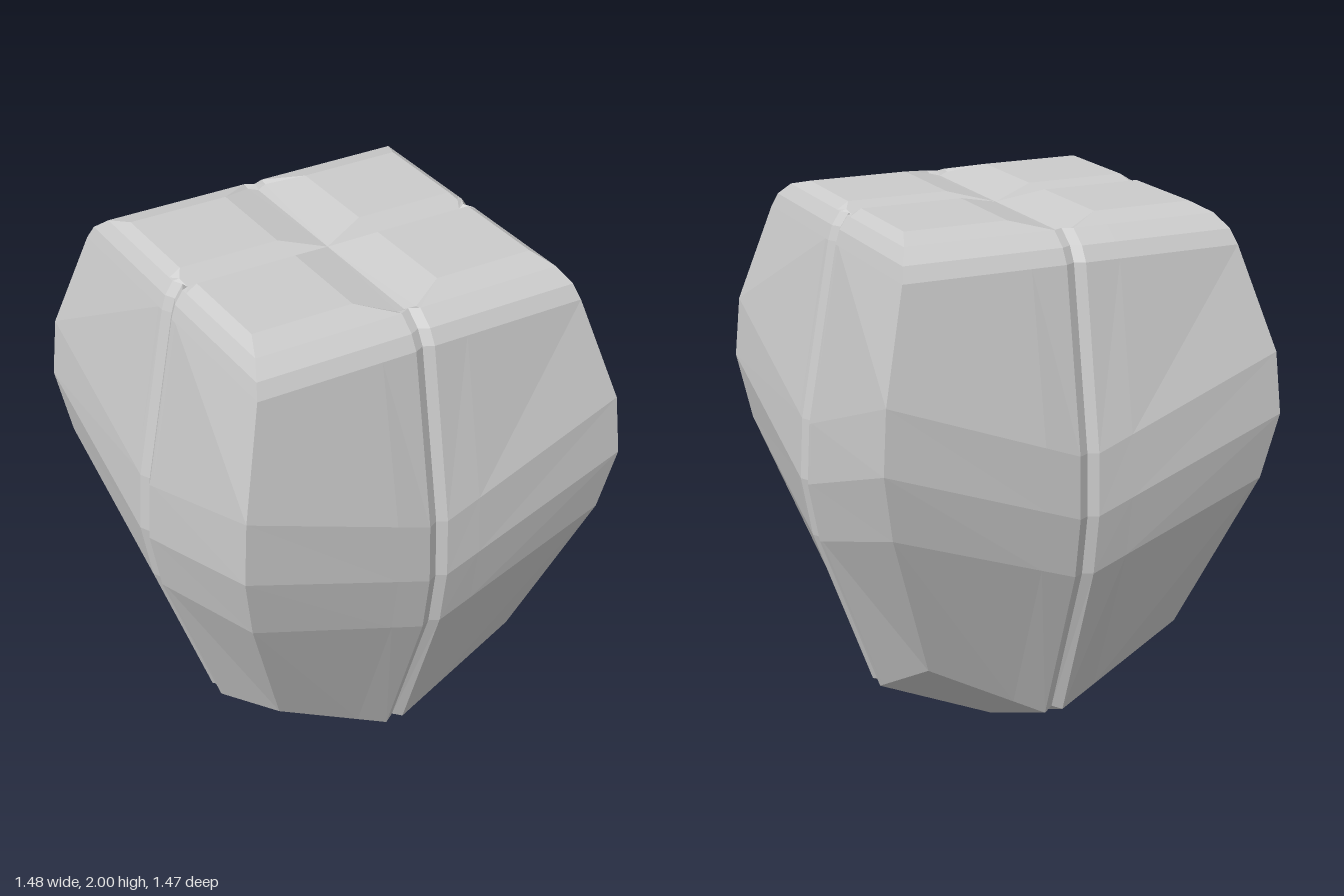
import * as THREE from 'three';

const v = (x, y, z) => new THREE.Vector3(x, y, z);

// Cross-sections from the base up: [corner x, corner z, corner y, mid x, mid z, mid y]
const SECTIONS = [
  [0.485, 0.485, 0.47, 0.485, 0.485, 0.21],
  [0.69, 0.69, 1.06, 0.70, 0.70, 0.82],
  [0.733, 0.73, 1.30, 0.738, 0.733, 1.04],
  [0.715, 0.715, 1.52, 0.725, 0.725, 1.26],
  [0.61, 0.61, 1.88, 0.61, 0.61, 1.88],
  [0.595, 0.58, 1.93, 0.595, 0.58, 1.93],
  [0.565, 0.52, 1.975, 0.565, 0.52, 1.975],
];
const LIP = 0.035; // half width of the grooves between the quarters
const DEPTH = 0.018;

// One row of wall points, running from the front groove round the corner to the side groove
function wallRow([cx, cz, cy, mx, mz, my]) {
  const corner = v(cx, cy, cz);
  const frontLip = v(LIP, my, mz), sideLip = v(mx, my, LIP);
  return [
    v(0, my, mz - DEPTH),
    frontLip,
    frontLip.clone().lerp(corner, (0.16 - LIP) / (cx - LIP)),
    corner,
    sideLip.clone().lerp(corner, (0.06 - LIP) / (cz - LIP)),
    sideLip,
    v(mx - DEPTH, my, 0),
  ];
}

// Faces of the quarter at +x +z, each a convex loop of corners
function quarterFaces() {
  const faces = [];
  const rows = SECTIONS.map(wallRow);
  const rim = [
    v(0, 1.96, 0.48), v(LIP, 1.968, 0.495), v(0.16, 2, 0.425), v(0.525, 2, 0.425),
    v(0.525, 2, 0.06), v(0.543, 1.98, 0.03), v(0.53, 1.96, 0),
  ];
  rows.push(rim);

  // walls with rounded shoulder
  for (let r = 0; r < rows.length - 1; r++) {
    for (let c = 0; c < 6; c++) {
      faces.push([rows[r][c], rows[r][c + 1], rows[r + 1][c + 1], rows[r + 1][c]]);
    }
  }

  // top: flat pad, slope to the centre line, cross groove
  const dip = v(0, 1.96, 0), inner = v(0.16, 2, 0.06);
  faces.push([rim[2], rim[3], rim[4], inner]);
  faces.push([dip, rim[0], rim[1], rim[2], inner]);
  faces.push([dip, inner, rim[4], rim[5], rim[6]]);

  // underside: sloping facet and the two grooves beside it
  const base = rows[0], tip = v(LIP, 0, LIP), hollow = v(0, 0.01, 0);
  base[0].y = base[6].y = 0.222;
  faces.push([tip, base[5], base[3], base[1]]);
  faces.push([hollow, tip, base[1], base[0]]);
  faces.push([hollow, base[6], base[5], tip]);
  return faces;
}

// Mirrored copy as triangles, with the winding reversed when needed
function quarterGeometry(faces, sx, sz) {
  const pos = [];
  for (const f of faces) {
    for (let i = 1; i < f.length - 1; i++) {
      const tri = sx * sz > 0 ? [f[0], f[i], f[i + 1]] : [f[0], f[i + 1], f[i]];
      for (const p of tri) pos.push(p.x * sx, p.y, p.z * sz);
    }
  }
  const geo = new THREE.BufferGeometry();
  geo.setAttribute('position', new THREE.Float32BufferAttribute(pos, 3));
  geo.computeVertexNormals();
  return geo;
}

export function createModel() {
  const group = new THREE.Group();
  group.name = 'molar';
  const material = new THREE.MeshStandardMaterial({ color: 0xcccccc, flatShading: true });
  const faces = quarterFaces();
  for (const [sx, side] of [[1, 'Left'], [-1, 'Right']]) {
    for (const [sz, end] of [[1, 'front'], [-1, 'back']]) {
      const mesh = new THREE.Mesh(quarterGeometry(faces, sx, sz), material);
      mesh.name = `${end}${side}Quarter`;
      group.add(mesh);
    }
  }
  return group;
}
